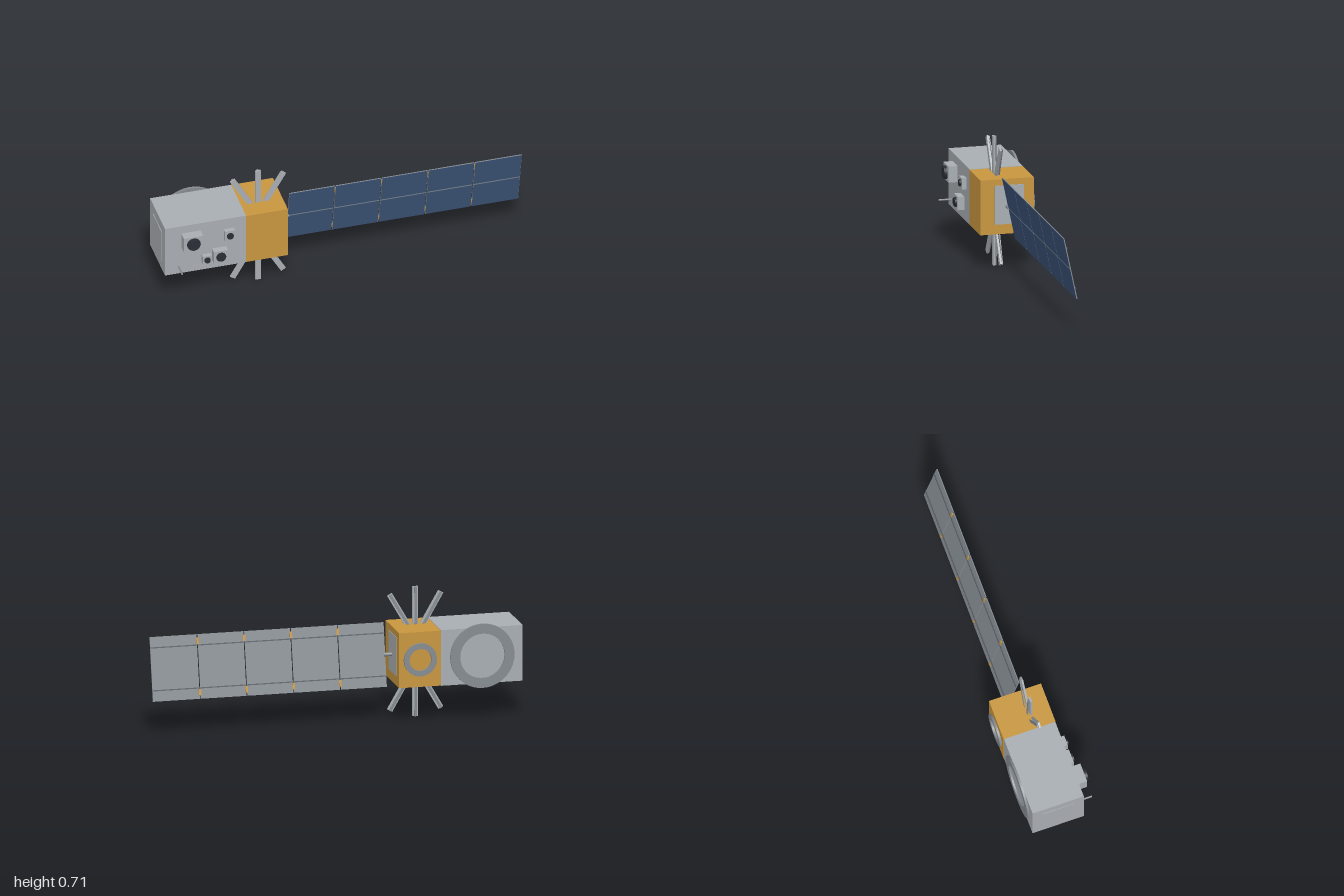
import * as THREE from 'three';

const mat = (name, color) => {
  const m = new THREE.MeshStandardMaterial({ color });
  m.name = name;
  return m;
};

export function createModel() {
  const silver = mat('silver', 0xa9aeb3);
  const gold = mat('gold foil', 0xc8963f);
  const blue = mat('solar blue', 0x3c5579);
  const grey = mat('mid grey', 0x868c92);
  const dark = mat('dark metal', 0x565c63);
  const black = mat('lens black', 0x2a2e35);

  const model = new THREE.Group();
  model.name = 'satellite';
  const CY = 0.355;

  const add = (parent, name, geometry, material, x = 0, y = 0, z = 0) => {
    const mesh = new THREE.Mesh(geometry, material);
    mesh.name = name;
    mesh.position.set(x, y, z);
    parent.add(mesh);
    return mesh;
  };
  // Box given by its lower and upper corners
  const span = (parent, name, material, a, b) => add(parent, name,
    new THREE.BoxGeometry(b[0] - a[0], b[1] - a[1], b[2] - a[2]), material,
    (a[0] + b[0]) / 2, (a[1] + b[1]) / 2, (a[2] + b[2]) / 2);
  // Cylinder along z between two depths
  const barrel = (parent, name, material, x, y, z0, z1, r) => {
    const g = new THREE.CylinderGeometry(r, r, z1 - z0, 24).rotateX(Math.PI / 2);
    return add(parent, name, g, material, x, y, (z0 + z1) / 2);
  };

  // Body: payload module, service module and end plates
  span(model, 'payloadModule', silver, [-0.997, 0.203, -0.173], [-0.55, 0.508, 0.116]);
  span(model, 'serviceModule', gold, [-0.55, 0.205, -0.175], [-0.32, 0.506, 0.118]);
  span(model, 'endPlate', silver, [-1, 0.26, -0.115], [-0.996, 0.45, 0.06]);
  span(model, 'sidePlate', silver, [-0.321, 0.259, -0.12], [-0.316, 0.472, 0.04]);

  // Rings on the back
  const ring = (name, x, outer, inner, z0, z1) => {
    const s = new THREE.Shape().absarc(0, 0, outer, 0, Math.PI * 2);
    s.holes.push(new THREE.Path().absarc(0, 0, inner, 0, Math.PI * 2, true));
    const g = new THREE.ExtrudeGeometry(s, { depth: z1 - z0, bevelEnabled: false, curveSegments: 40 });
    add(model, name, g, grey, x, CY, z0);
  };
  ring('largeRing', -0.775, 0.175, 0.122, -0.184, -0.172);
  ring('smallRing', -0.435, 0.09, 0.06, -0.187, -0.174);

  // Cameras on the front: housing rectangle, housing depth, lens centre and radius
  [
    [-0.907, 0.373, -0.8, 0.461, 0.167, -0.853, 0.417, 0.037, 0.016],
    [-0.673, 0.38, -0.617, 0.443, 0.142, -0.645, 0.412, 0.019, 0.01],
    [-0.738, 0.257, -0.66, 0.33, 0.153, -0.698, 0.293, 0.027, 0.011],
    [-0.795, 0.255, -0.745, 0.302, 0.14, -0.77, 0.277, 0.017, 0.01],
  ].forEach(([x0, y0, x1, y1, z, cx, cy, r, depth]) => {
    const camera = new THREE.Group();
    camera.name = 'camera';
    model.add(camera);
    span(camera, 'housing', silver, [x0, y0, 0.115], [x1, y1, z]);
    barrel(camera, 'lensBarrel', black, cx, cy, z, z + depth / 2, r);
    barrel(camera, 'lens', black, cx, cy, z + depth / 2, z + depth, r * 0.87);
  });
  barrel(model, 'frontRod', grey, -0.922, 0.247, 0.115, 0.188, 0.005);

  // Antenna blades with a thin brace behind, fanned above and below
  for (const side of [1, -1]) {
    for (const angle of [-Math.PI / 6, 0, Math.PI / 6]) {
      const antenna = new THREE.Group();
      antenna.name = side > 0 ? 'upperAntenna' : 'lowerAntenna';
      antenna.position.set(-0.455, CY + side * 0.075, 0);
      antenna.rotation.z = side > 0 ? angle : Math.PI - angle;
      model.add(antenna);
      span(antenna, 'blade', silver, [-0.015, 0.05, 0.004], [0.015, 0.28, 0.015]);
      const brace = add(antenna, 'brace', new THREE.BoxGeometry(0.014, 0.23, 0.005), grey, 0, 0.165, -0.005);
      brace.rotation.x = 0.035;
    }
  }

  // Solar wing, tilted about its long axis
  const wing = new THREE.Group();
  wing.name = 'solarWing';
  wing.position.set(0, CY + 0.001, -0.028);
  wing.rotation.x = 0.21;
  model.add(wing);
  const boom = add(wing, 'boom', new THREE.CylinderGeometry(0.01, 0.01, 0.05, 20), grey, -0.299, 0, 0);
  boom.rotation.z = Math.PI / 2;
  const pitch = 0.256, half = 0.172, start = -0.281;
  for (let i = 0; i < 5; i++) {
    const x0 = start + i * pitch, x1 = i < 4 ? x0 + pitch - 0.005 : 1;
    span(wing, 'panel', grey, [x0, -half, -0.003], [x1, half, 0.002]);
    for (const s of [1, -1]) {
      span(wing, 'solarCells', blue,
        [x0 + 0.001, s > 0 ? 0.004 : -half + 0.001, 0.0015], [x1 - 0.001, s > 0 ? half - 0.001 : -0.004, 0.003]);
      // Hinges bridging neighbouring panels
      if (i < 4) {
        span(wing, 'hinge', gold,
          [x1 - 0.004, s * 0.137 - 0.018, -0.007], [x1 + 0.009, s * 0.137 + 0.018, -0.001]);
      }
    }
  }
  // Stringers along the back of the wing
  for (const s of [1, -1]) {
    span(wing, 'stringer', dark, [start, s * 0.114 - 0.003, -0.008], [1, s * 0.114 + 0.003, -0.002]);
  }

  return model;
}
